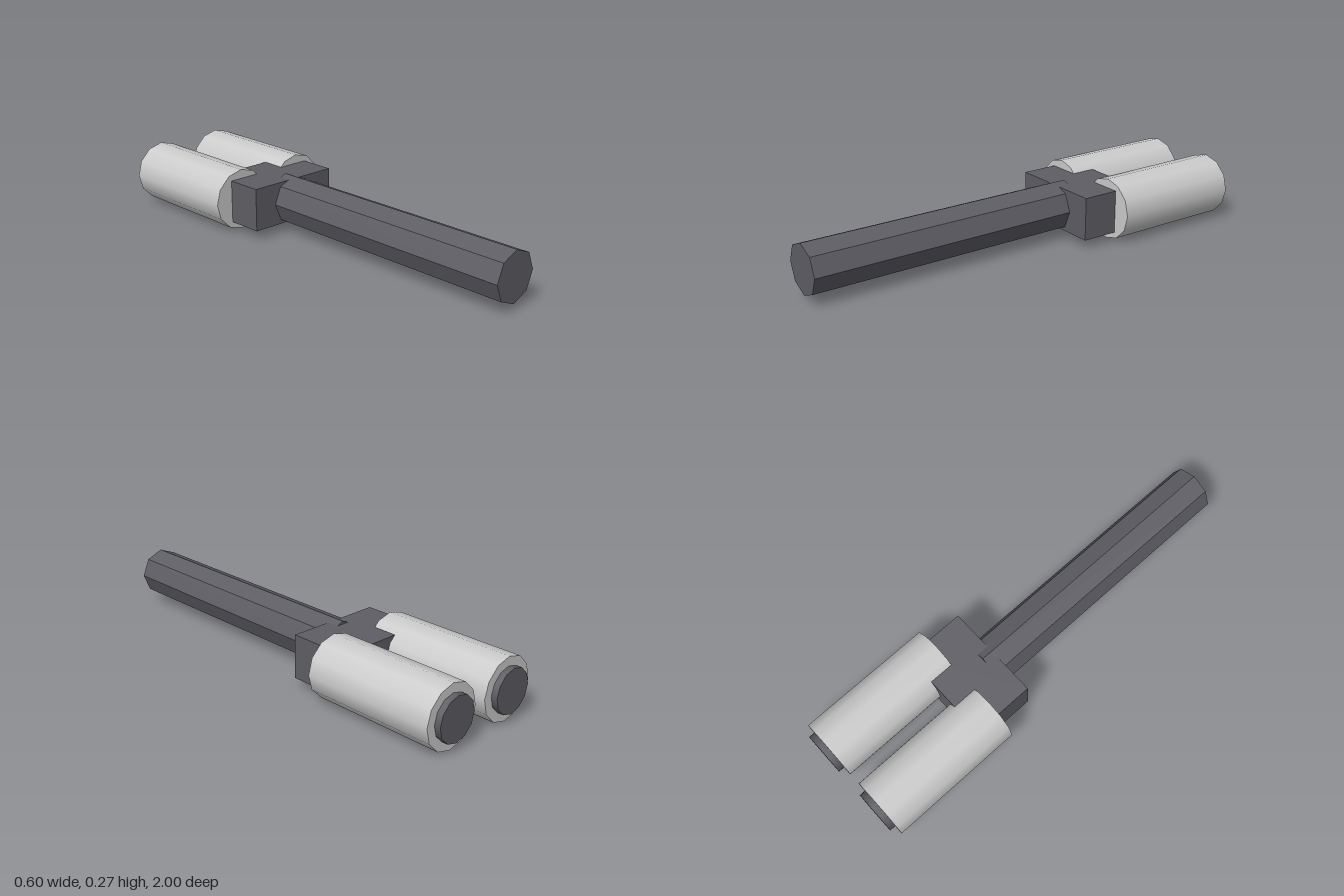
import * as THREE from 'three';

const AXIS_Y = 0.138;

export function createModel() {
  const group = new THREE.Group();
  const dark = new THREE.MeshStandardMaterial({ color: 0x5e5d64 });
  const darkFlat = new THREE.MeshStandardMaterial({ color: 0x5e5d64, flatShading: true });
  const grey = new THREE.MeshStandardMaterial({ color: 0xcccccc });

  function add(name, geometry, material, x, z) {
    const mesh = new THREE.Mesh(geometry, material);
    mesh.name = name;
    mesh.position.set(x, AXIS_Y, z);
    group.add(mesh);
  }

  // Cylinder lying along z between two depths
  function rod(name, radius, sides, zBack, zFront, material, x = 0) {
    const geometry = new THREE.CylinderGeometry(radius, radius, zFront - zBack, sides);
    geometry.rotateX(Math.PI / 2);
    add(name, geometry, material, x, (zFront + zBack) / 2);
  }

  // Octagonal handle, sunk slightly into the block
  rod('handle', 0.109, 8, -0.26, 1, darkFlat);

  // Cross block joining the handle to both barrels
  add('crossBlock', new THREE.BoxGeometry(0.437, 0.192, 0.275), dark, 0, -0.3445);

  // Twin barrels with dark end caps
  for (const [side, s] of [['left', 1], ['right', -1]]) {
    rod(side + 'Barrel', 0.137, 12, -0.973, -0.372, grey, s * 0.164);
    rod(side + 'EndCap', 0.097, 12, -1, -0.9, dark, s * 0.164);
  }

  return group;
}
